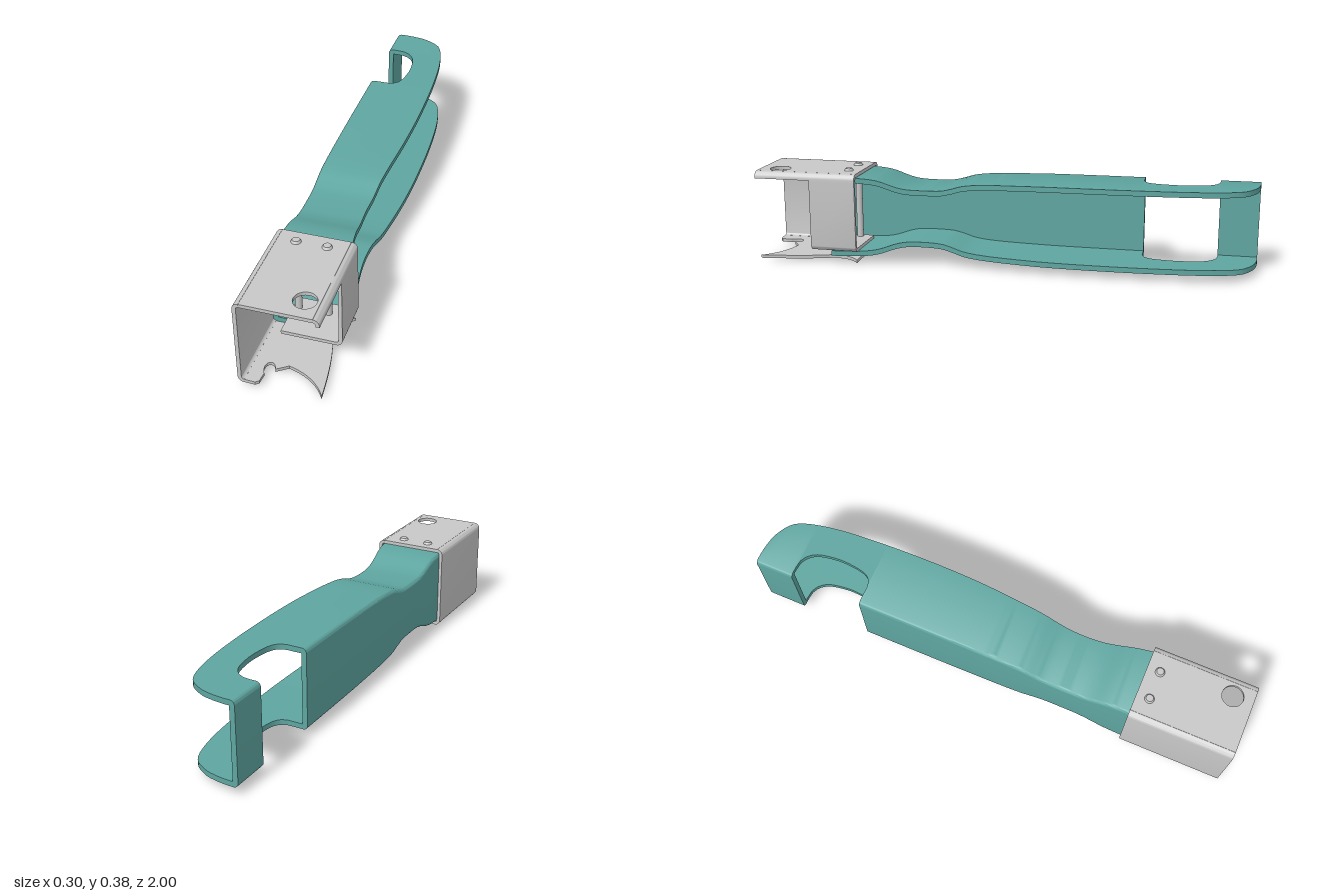
import * as THREE from 'three';
import { toCreasedNormals } from 'three/addons/utils/BufferGeometryUtils.js';

const teal = new THREE.MeshStandardMaterial({ color: 0x5fa6a1 });
teal.name = 'teal handle';
const steel = new THREE.MeshStandardMaterial({ color: 0xc8c8c8 });
steel.name = 'light steel';

const MID = 0.195; // height of the handle's axis
const T = 0.021; // handle sheet thickness

// Smooth curve through [z, value] points, read back by z
function curveOf(points) {
  const s = new THREE.SplineCurve(points.map(p => new THREE.Vector2(...p))).getPoints(points.length * 10);
  return z => {
    let i = 1;
    while (i < s.length - 1 && s[i].x < z) i++;
    const a = s[i - 1], b = s[i];
    const k = THREE.MathUtils.clamp((z - a.x) / (b.x - a.x || 1), 0, 1);
    return a.y + (b.y - a.y) * k;
  };
}

const rightEdge = curveOf([[-1, -0.1], [-0.995, -0.05], [-0.978, 0.01], [-0.925, 0.075], [-0.79, 0.112],
  [-0.58, 0.13], [-0.34, 0.135], [-0.13, 0.13], [0.08, 0.115], [0.2, 0.105], [0.32, 0.1], [0.45, 0.11],
  [0.57, 0.127], [0.69, 0.137]]);
const halfHeight = curveOf([[-1, 0.1625], [-0.6, 0.1625], [-0.25, 0.1615], [-0.1, 0.159], [0.05, 0.154],
  [0.14, 0.145], [0.2, 0.128], [0.25, 0.118], [0.36, 0.117], [0.42, 0.126], [0.5, 0.152], [0.58, 0.161], [0.69, 0.1625]]);
const notchEdge = curveOf([[-0.845, -0.1], [-0.84, -0.065], [-0.82, -0.035], [-0.78, -0.012], [-0.7, 0], [-0.63, -0.004],
  [-0.585, -0.014], [-0.56, -0.032], [-0.55, -0.06]]);

// Closed solid from counter-clockwise cross-sections stacked along z
function loft(zs, ring) {
  const rings = zs.map(ring), pos = [];
  const put = (k, i) => pos.push(rings[k][i].x, rings[k][i].y, zs[k]);
  const n = rings[0].length, last = zs.length - 1;
  for (let k = 0; k < last; k++) for (let i = 0; i < n; i++) {
    const j = (i + 1) % n;
    put(k, i); put(k, j); put(k + 1, j);
    put(k, i); put(k + 1, j); put(k + 1, i);
  }
  for (const [a, b, c] of THREE.ShapeUtils.triangulateShape(rings[0], [])) {
    put(0, c); put(0, b); put(0, a);
  }
  for (const [a, b, c] of THREE.ShapeUtils.triangulateShape(rings[last], [])) {
    put(last, a); put(last, b); put(last, c);
  }
  const g = new THREE.BufferGeometry();
  g.setAttribute('position', new THREE.Float32BufferAttribute(pos, 3));
  return toCreasedNormals(g, 0.5);
}

const steps = (a, b, n) => Array.from({ length: n + 1 }, (_, i) => a + (b - a) * i / n);

function arc(cx, cy, r, a0, a1) {
  return steps(a0, a1, 8).map(d => {
    const a = THREE.MathUtils.degToRad(d);
    return new THREE.Vector2(cx + r * Math.cos(a), cy + r * Math.sin(a));
  });
}

// Channel section: web on the right-hand side of the model, flanges above and below
function channel(z) {
  const h = halfHeight(z), xr = rightEdge(z), l = -0.14, r = 0.018;
  return [
    new THREE.Vector2(xr, MID + h),
    ...arc(l + r, MID + h - r, r, 90, 180),
    ...arc(l + r, MID - h + r, r, 180, 270),
    new THREE.Vector2(xr, MID - h),
    new THREE.Vector2(xr, MID - h + T),
    new THREE.Vector2(l + T, MID - h + T),
    new THREE.Vector2(l + T, MID + h - T),
    new THREE.Vector2(xr, MID + h - T),
  ];
}

// Flange section beside the notch
function flange(z, side) {
  const h = halfHeight(z), a = notchEdge(z), b = rightEdge(z);
  const y0 = side > 0 ? MID + h - T : MID - h;
  return [[a, y0], [b, y0], [b, y0 + T], [a, y0 + T]].map(p => new THREE.Vector2(...p));
}

// Bent sheet: centre line thickened in xy and extruded along z
function bentSheet(path, t, z0, z1) {
  const side = s => path.map((p, i) => {
    const a = path[Math.max(i - 1, 0)], b = path[Math.min(i + 1, path.length - 1)];
    const d = b.clone().sub(a).normalize();
    return new THREE.Vector2(p.x - d.y * s * t / 2, p.y + d.x * s * t / 2);
  });
  const shape = new THREE.Shape([...side(1), ...side(-1).reverse()]);
  const g = new THREE.ExtrudeGeometry(shape, { depth: z1 - z0, bevelEnabled: false });
  return toCreasedNormals(g.translate(0, 0, z0), 0.4);
}

// Flat sheet drawn in x, z with its upper face at y = 0
function flatSheet(shape, t) {
  const g = new THREE.ExtrudeGeometry(shape, { depth: t, bevelEnabled: false, curveSegments: 20 });
  return toCreasedNormals(g.rotateX(Math.PI / 2), 0.4);
}

export function createModel() {
  const model = new THREE.Group();
  model.name = 'opener';
  const add = (name, geometry, material, parent) => {
    const m = new THREE.Mesh(geometry, material);
    m.name = name;
    parent.add(m);
    return m;
  };

  // Handle
  const handle = new THREE.Group();
  handle.name = 'handle';
  model.add(handle);
  add('handleChannel', loft(steps(-0.55, 0.69, 80), channel), teal, handle);
  add('handleHook', loft([-1, -0.9985, -0.997, -0.995, -0.99, -0.985, ...steps(-0.975, -0.845, 10)], channel), teal, handle);
  const notchZ = [-0.845, -0.8425, ...steps(-0.84, -0.56, 28), -0.555, -0.55];
  for (const s of [1, -1]) {
    add(s > 0 ? 'upperNeck' : 'lowerNeck', loft(notchZ, z => flange(z, s)), teal, handle);
  }

  // Bracket side walls
  const bracket = new THREE.Group();
  bracket.name = 'bracket';
  model.add(bracket);
  const t = 0.014, r = 0.017;
  const V = (x, y) => new THREE.Vector2(x, y);
  add('sideWall', bentSheet([
    ...arc(-0.146 + r, 0.026 + r, r, 270, 180),
    ...arc(-0.146 + r, 0.365 - r, r, 180, 90),
  ], t, 0.58, 1), steel, bracket);
  add('topLip', bentSheet([...arc(0.144 - r, 0.365 - r, r, 90, 0), V(0.144, 0.343)], t, 0.58, 1), steel, bracket);
  add('foldedWall', bentSheet([
    V(0.144, 0.343), ...arc(0.144 - r, 0.061 + r, r, 0, -90), V(-0.08, 0.061),
  ], t, 0.58, 0.77), steel, bracket);

  // Top plate with its round hole
  const top = new THREE.Shape([V(-0.129, 0.58), V(0.127, 0.58), V(0.127, 1), V(-0.129, 1)]);
  top.holes.push(new THREE.Path().absarc(0.074, 0.918, 0.042, 0, Math.PI * 2, true));
  add('topPlate', flatSheet(top, t).translate(0, 0.372, 0), steel, bracket);

  // Slightly sloping bottom plate with claw and small catch
  const claw = new THREE.Shape();
  claw.moveTo(-0.129, 0.58);
  claw.lineTo(0.142, 0.58);
  claw.quadraticCurveTo(0.09, 0.62, 0.092, 0.7);
  claw.quadraticCurveTo(0.13, 0.8, 0.147, 0.99);
  claw.quadraticCurveTo(0.1, 0.91, -0.005, 0.89);
  claw.lineTo(-0.045, 0.92);
  claw.quadraticCurveTo(-0.06, 0.88, -0.08, 0.9);
  claw.quadraticCurveTo(-0.092, 0.92, -0.075, 0.95);
  claw.lineTo(-0.078, 0.99);
  claw.lineTo(-0.09, 1);
  claw.lineTo(-0.129, 1);
  const slope = 0.04;
  const bottom = flatSheet(claw, 0.013).translate(0.129, 0, 0).rotateZ(-slope).translate(-0.129, 0.0325, 0);
  add('clawPlate', bottom, steel, bracket);

  // Rivets
  for (const x of [-0.06, 0.055]) {
    const rivet = new THREE.Group();
    rivet.name = 'rivet';
    rivet.position.set(x, 0, 0.632);
    model.add(rivet);
    add('pin', new THREE.CylinderGeometry(0.0135, 0.0135, 0.352, 24), steel, rivet).position.y = 0.194;
    const under = 0.0195 - slope * (x + 0.129);
    add('upperHead', new THREE.CylinderGeometry(0.014, 0.019, 0.009, 24), steel, rivet).position.y = 0.3765;
    add('lowerHead', new THREE.CylinderGeometry(0.019, 0.014, 0.009, 24), steel, rivet).position.y = under - 0.0045;
  }
  return model;
}
